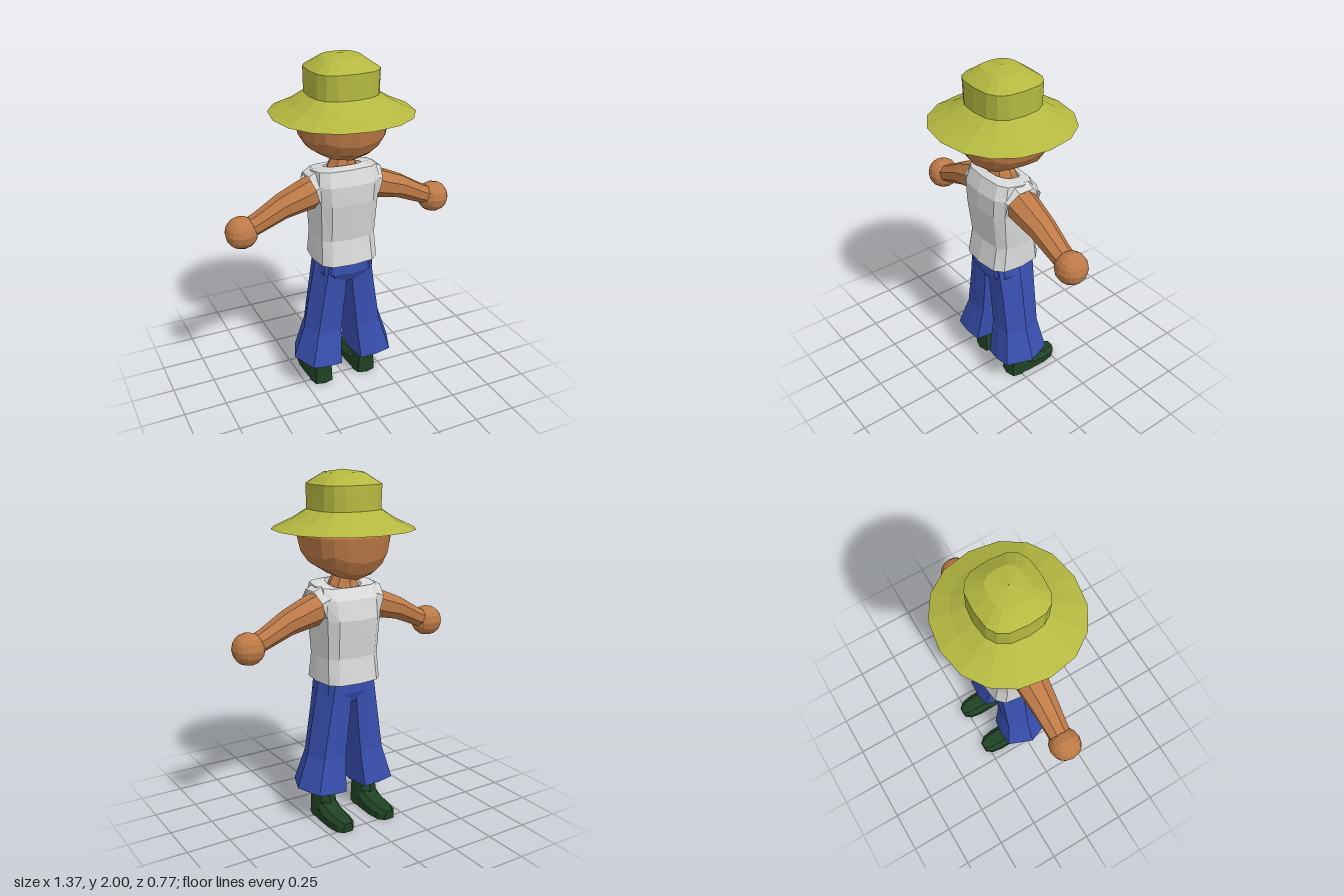
import * as THREE from 'three';

const material = (name, color, double = false) => {
  const m = new THREE.MeshStandardMaterial({ color });
  m.name = name;
  if (double) m.side = THREE.DoubleSide;
  return m;
};

// Faceted skin through a list of equal-length rings of [x, y, z] points
function loft(rings, caps = true) {
  const n = rings[0].length;
  const pts = rings.flat().map((p) => new THREE.Vector3(...p));
  const faces = [];
  for (let r = 0; r < rings.length - 1; r++) {
    for (let i = 0; i < n; i++) {
      const a = r * n + i, b = r * n + (i + 1) % n;
      faces.push([a, b, b + n], [a, b + n, a + n]);
    }
  }
  if (caps) {
    const last = (rings.length - 1) * n;
    for (let i = 1; i < n - 1; i++) {
      faces.push([0, i + 1, i], [last, last + i, last + i + 1]);
    }
  }
  // Turn the faces outward, whichever way the rings run
  const mid = new THREE.Box3().setFromPoints(pts).getCenter(new THREE.Vector3());
  const rel = pts.map((p) => p.clone().sub(mid));
  let volume = 0;
  for (const [a, b, c] of faces) volume += rel[a].dot(rel[b].clone().cross(rel[c]));
  if (volume < 0) faces.forEach((f) => f.reverse());
  const g = new THREE.BufferGeometry().setFromPoints(faces.flat().map((i) => pts[i]));
  g.computeVertexNormals();
  return g;
}

// Horizontal rounded-square ring; power 1 is an ellipse, smaller is boxier
function ring(y, rx, back, front, { n = 12, cx = 0, power = 1, tilt = 0 } = {}) {
  const soft = (v) => Math.sign(v) * Math.abs(v) ** power;
  return Array.from({ length: n }, (_, i) => {
    const t = (i / n) * Math.PI * 2;
    const s = soft(Math.sin(t));
    const z = s > 0 ? s * back : -s * front;
    return [cx + rx * soft(Math.cos(t)), y + tilt * z, z];
  });
}

// Faceted ball made from a subdivided cube; shape maps each unit direction
function ball(shape) {
  const g = new THREE.BoxGeometry(2, 2, 2, 4, 4, 4).toNonIndexed();
  const p = g.attributes.position;
  const v = new THREE.Vector3();
  for (let i = 0; i < p.count; i++) {
    v.fromBufferAttribute(p, i).normalize();
    p.setXYZ(i, ...shape(v));
  }
  g.computeVertexNormals();
  return g;
}

export function createModel() {
  const skin = material('skin', 0xbd7a47);
  const hatGreen = material('hat green', 0xb4b840, true);
  const shirtWhite = material('shirt white', 0xd8d8d8, true);
  const denim = material('trouser blue', 0x384fb0, true);
  const bootGreen = material('boot green', 0x1f4224);

  const model = new THREE.Group();
  model.name = 'figure';
  const add = (name, geometry, mat) => {
    const mesh = new THREE.Mesh(geometry, mat);
    mesh.name = name;
    model.add(mesh);
  };

  // Head, with the chin dropping toward the face
  add('head', ball((v) => {
    const z = Math.sign(v.z) * Math.abs(v.z) ** 0.8 * 0.248 - 0.006;
    const y = v.y < 0
      ? v.y * 0.23 * (1 + 0.2 * Math.abs(v.z)) - v.y * z * 0.13
      : v.y * 0.18;
    return [v.x * 0.252, 1.655 + y, z];
  }), skin);
  add('neck', loft([
    ring(1.3, 0.12, 0.09, -0.1, { n: 8 }),
    ring(1.39, 0.085, 0.085, -0.07, { n: 8 }),
    ring(1.43, 0.06, 0.07, -0.065, { n: 8 }),
    ring(1.52, 0.06, 0.06, -0.06, { n: 8 }),
  ]), skin);

  // Hat: sloping brim, upright band and shallow dome
  const hatRing = (y, rx, back, front, power) => ring(y, rx, back, front, { n: 16, power });
  add('hatBrim', loft([
    hatRing(1.685, 0.392, 0.383, -0.388, 0.92),
    hatRing(1.735, 0.282, 0.275, -0.28, 0.87),
    hatRing(1.79, 0.192, 0.18, -0.195, 0.75),
  ], false), hatGreen);
  add('hatCrown', loft([
    hatRing(1.79, 0.192, 0.18, -0.195, 0.75),
    hatRing(1.925, 0.19, 0.178, -0.19, 0.65),
    hatRing(1.985, 0.105, 0.095, -0.105, 0.75),
    hatRing(2.0, 0.002, 0.002, -0.002, 1),
  ], false), hatGreen);

  // Sleeveless shirt with a lower neckline at the chest
  const shirtRing = (y, rx, back, front, tilt = 0, power = 0.6) =>
    ring(y, rx, back, front, { power, tilt });
  add('shirt', loft([
    shirtRing(0.835, 0.183, 0.165, -0.178),
    shirtRing(0.98, 0.176, 0.135, -0.155),
    shirtRing(1.2, 0.186, 0.163, -0.178),
    shirtRing(1.31, 0.198, 0.163, -0.15),
    shirtRing(1.38, 0.185, 0.13, -0.1, 0.1),
    shirtRing(1.385, 0.105, 0.085, -0.08, 0.25, 0.8),
    shirtRing(1.34, 0.09, 0.07, -0.065, 0.25, 0.8),
  ], false), shirtWhite);

  // Seat of the trousers
  add('trouserSeat', loft([
    ring(0.845, 0.16, 0.145, -0.138, { power: 0.65 }),
    ring(0.77, 0.168, 0.146, -0.137, { power: 0.65 }),
    ring(0.71, 0.13, 0.115, -0.11, { power: 0.7 }),
    ring(0.685, 0.04, 0.06, -0.06, { power: 0.7 }),
  ]), denim);

  for (const [side, s] of [['left', 1], ['right', -1]]) {
    // Arm: cross-sections [x, y, half height, half depth] leaning with the arm
    const armRing = ([x, y, h, d]) => Array.from({ length: 8 }, (_, i) => {
      const t = ((i + 0.5) / 8) * Math.PI * 2;
      return [s * (x + h * 0.3 * Math.sin(t)), y + h * 1.05 * Math.sin(t), d * 1.08 * Math.cos(t)];
    });
    add(`${side}Arm`, loft([
      [0.13, 1.27, 0.08, 0.09], [0.21, 1.243, 0.08, 0.09], [0.36, 1.195, 0.064, 0.075],
      [0.5, 1.125, 0.052, 0.062], [0.57, 1.095, 0.05, 0.058],
    ].map(armRing)), skin);
    add(`${side}Hand`, ball((v) => [s * 0.595 + v.x * 0.091, 1.085 + v.y * 0.091, v.z * 0.091]), skin);

    // Open armhole cuff
    add(`${side}Cuff`, loft([
      [0.14, 1.28, 0.105, 0.115], [0.19, 1.262, 0.098, 0.11],
    ].map(armRing), false), shirtWhite);

    // Flared leg: [y, inner x, outer x, back z, front z, hem slope]
    const legRing = ([y, inner, outer, back, front, slope]) => {
      const c = (inner + outer) / 2, w = (outer - inner) / 2;
      return [[1, 0], [0.55, 1], [-0.15, 1.04], [-0.85, 0.95], [-1, 0],
        [-0.85, -0.95], [-0.15, -1.04], [0.55, -1]].map(([u, k]) =>
        [s * (c + w * u), y + slope * u, k > 0 ? k * back : -k * front]);
    };
    add(`${side}TrouserLeg`, loft([
      [0.835, 0.0, 0.165, 0.12, -0.125, 0], [0.66, 0.008, 0.198, 0.112, -0.12, 0],
      [0.39, 0.036, 0.245, 0.11, -0.115, 0], [0.185, 0.045, 0.31, 0.15, -0.145, 0.015],
    ].map(legRing), false), denim);

    // Ankle and boot
    const cx = s * 0.142;
    const ankle = { n: 8, cx };
    const shaft = { n: 8, cx, power: 0.7 };
    add(`${side}Ankle`, loft([
      ring(0.14, 0.05, 0.055, -0.06, ankle), ring(0.4, 0.055, 0.06, -0.065, ankle),
    ]), skin);
    add(`${side}BootShaft`, loft([
      ring(0, 0.069, 0.071, -0.08, shaft), ring(0.1, 0.063, 0.07, -0.085, shaft),
      ring(0.172, 0.058, 0.069, -0.074, shaft),
    ]), bootGreen);
    // Foot sections run from heel to toe: [z, half width, height]
    add(`${side}BootFoot`, loft([
      [0.05, 0.055, 0.09], [-0.05, 0.066, 0.12], [-0.1, 0.068, 0.082],
      [-0.18, 0.069, 0.068], [-0.245, 0.058, 0.06], [-0.28, 0.03, 0.052],
    ].map(([z, w, h]) => [[-w, 0], [w, 0], [w, h * 0.6], [w * 0.6, h], [-w * 0.6, h], [-w, h * 0.6]]
      .map(([x, y]) => [cx + x, y, z]))), bootGreen);
  }
  return model;
}
